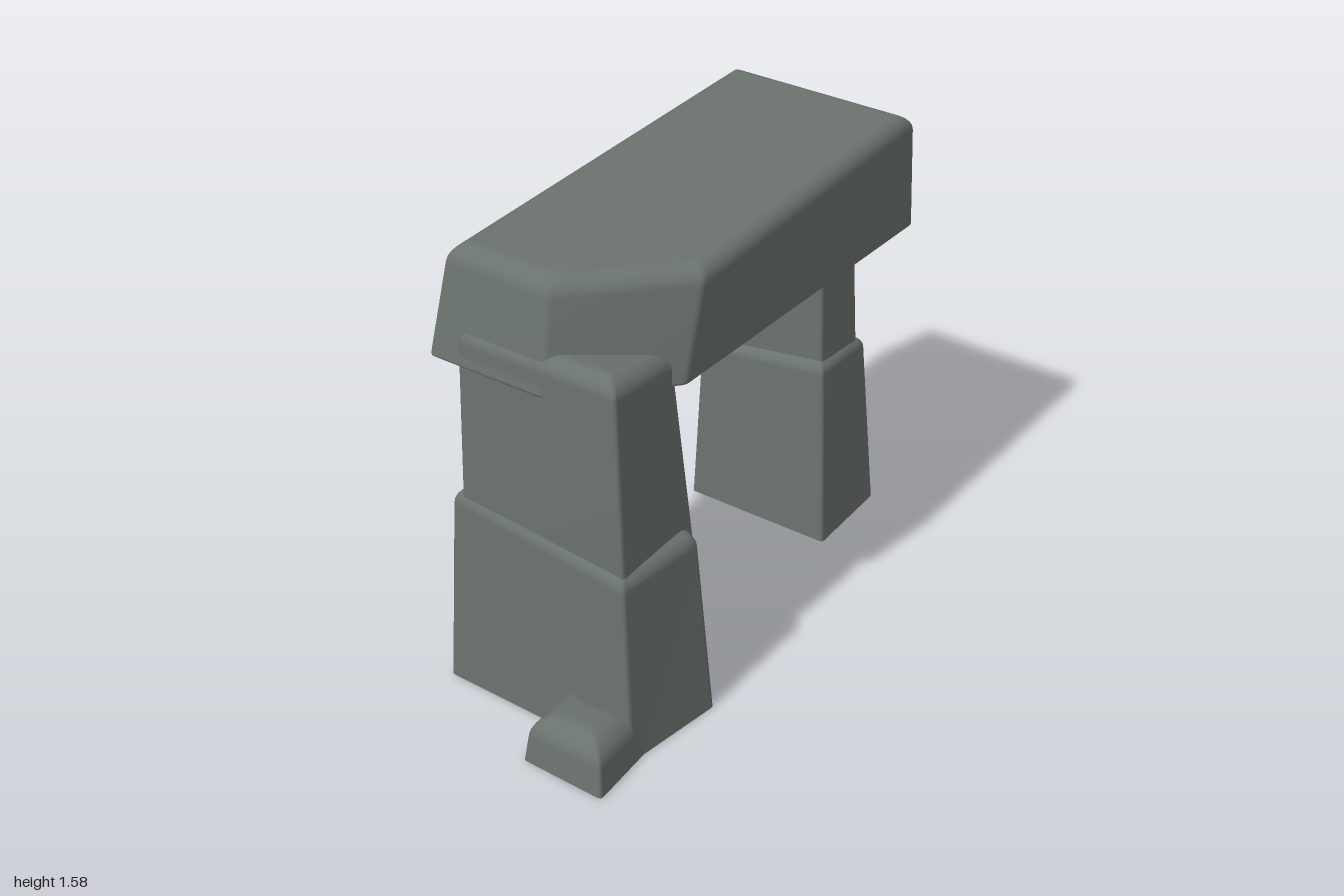
import * as THREE from 'three';

const stoneGrey = new THREE.MeshStandardMaterial({ color: 0x6a726e });
stoneGrey.name = 'stoneGrey';

// Moves every corner of a plan inward by d, then rounds the corners by c
function ring(corners, d, c) {
  const n = corners.length, inset = [], pts = [];
  const dir = (a, b) => {
    const v = new THREE.Vector2(b.x - a.x, b.z - a.z);
    return v.normalize();
  };
  corners.forEach((p, i) => {
    const e1 = dir(corners[(i + n - 1) % n], p), e2 = dir(p, corners[(i + 1) % n]);
    const k = d / (1 + e1.dot(e2));
    inset.push(new THREE.Vector3(p.x + (e1.y + e2.y) * k, p.y, p.z - (e1.x + e2.x) * k));
  });
  inset.forEach((p, i) => {
    const a = inset[(i + n - 1) % n], b = inset[(i + 1) % n];
    const from = p.clone().lerp(a, Math.min(0.4, c / p.distanceTo(a)));
    const to = p.clone().lerp(b, Math.min(0.4, c / p.distanceTo(b)));
    const curve = new THREE.QuadraticBezierCurve3(from, p, to);
    pts.push(...curve.getPoints(4));
  });
  return pts;
}

// Tapered block: base corners [x, z] at height y0, top corners [x, y, z],
// both counterclockwise from above; the top edge is rounded by r, the base edge by rb
function stone(name, y0, base, top, r, rb = 0, c = 0.014) {
  const at = (f) => base.map(([x, z], i) => {
    const [tx, ty, tz] = top[i], y = f(ty), t = (y - y0) / (ty - y0);
    return new THREE.Vector3(x + (tx - x) * t, y, z + (tz - z) * t);
  });
  const rings = [], steps = 6;
  if (rb) {
    for (let i = 0; i < 4; i++) {
      const a = (1 - i / 4) * Math.PI / 2;
      rings.push(ring(at(() => y0 + rb * (1 - Math.sin(a))), rb * (1 - Math.cos(a)), c));
    }
  }
  rings.push(ring(at(() => y0 + rb), 0, c));
  for (let i = 0; i <= steps; i++) {
    const a = i / steps * Math.PI / 2;
    rings.push(ring(at((h) => h - r * (1 - Math.sin(a))), r * (1 - Math.cos(a)), c));
  }
  const n = rings[0].length, pos = [], index = [];
  const put = (p) => pos.push(p.x, p.y, p.z) / 3 - 1;
  const centre = (pts) => pts.reduce((s, p) => s.add(p), new THREE.Vector3()).divideScalar(n);
  rings.forEach((pts) => pts.forEach(put));
  for (let k = 0; k < rings.length - 1; k++) {
    for (let i = 0; i < n; i++) {
      const a = k * n + i, b = k * n + (i + 1) % n;
      index.push(a, b, b + n, a, b + n, a + n);
    }
  }
  // Caps; the underside has its own corners so its edge stays sharp
  const last = (rings.length - 1) * n, topMid = put(centre(rings[rings.length - 1]));
  const under = rings[0].map(put)[0], underMid = put(centre(rings[0]));
  for (let i = 0; i < n; i++) {
    const j = (i + 1) % n;
    index.push(last + i, last + j, topMid, under + j, under + i, underMid);
  }
  const geo = new THREE.BufferGeometry();
  geo.setAttribute('position', new THREE.Float32BufferAttribute(pos, 3));
  geo.setIndex(index);
  geo.computeVertexNormals();
  const mesh = new THREE.Mesh(geo, stoneGrey);
  mesh.name = name;
  return mesh;
}

export function createModel() {
  const model = new THREE.Group();
  model.name = 'stoneArch';

  // Sloping lintel with one corner cut off
  const lintelTop = (x, z) => [x, 1.528 + 0.06 * x - 0.02 * z, z];
  model.add(stone('lintel', 1.14,
    [[-0.47, 0.31], [0.81, 0.31], [0.81, -0.405], [-0.77, -0.405], [-0.77, 0.02]],
    [lintelTop(-0.4, 0.33), lintelTop(0.74, 0.33), lintelTop(0.74, -0.365),
      lintelTop(-0.7, -0.365), lintelTop(-0.7, 0.01)], 0.055, 0.012));

  // Right-hand column as seen from behind (model's right)
  model.add(stone('rightLowerBlock', 0,
    [[-0.82, 0.355], [-0.465, 0.407], [-0.37, 0.29], [-0.32, -0.385], [-0.82, -0.37]],
    [[-0.8, 0.65, 0.32], [-0.475, 0.65, 0.35], [-0.42, 0.655, 0.245],
      [-0.385, 0.715, -0.345], [-0.785, 0.71, -0.335]], 0.05));
  model.add(stone('rightUpperBlock', 0.57,
    [[-0.78, 0.31], [-0.43, 0.31], [-0.43, -0.31], [-0.78, -0.31]],
    [[-0.76, 1.27, 0.275], [-0.49, 1.25, 0.275], [-0.49, 1.25, -0.295], [-0.76, 1.27, -0.295]],
    0.055, 0.025));

  // Model's left column
  model.add(stone('leftLowerBlock', 0,
    [[0.48, 0.212], [0.84, 0.2], [0.84, -0.352], [0.48, -0.352]],
    [[0.503, 0.7, 0.17], [0.78, 0.69, 0.165], [0.78, 0.635, -0.328], [0.503, 0.64, -0.328]], 0.045));
  model.add(stone('leftUpperBlock', 0.58,
    [[0.528, 0.155], [0.76, 0.155], [0.76, -0.308], [0.528, -0.308]],
    [[0.53, 1.2, 0.133], [0.73, 1.2, 0.133], [0.73, 1.2, -0.295], [0.53, 1.2, -0.295]], 0.02));

  // Small rocks at the feet
  model.add(stone('rightFootRock', 0,
    [[-1, 0.378], [-0.76, 0.362], [-0.76, 0.07], [-1, 0.08]],
    [[-0.98, 0.165, 0.358], [-0.77, 0.16, 0.345], [-0.77, 0.16, 0.09], [-0.98, 0.165, 0.1]], 0.07));
  model.add(stone('leftFootRock', 0,
    [[0.77, -0.072], [1, -0.08], [1, -0.285], [0.77, -0.298]],
    [[0.78, 0.125, -0.085], [0.975, 0.128, -0.095], [0.975, 0.128, -0.27], [0.78, 0.125, -0.28]], 0.055));

  return model;
}
